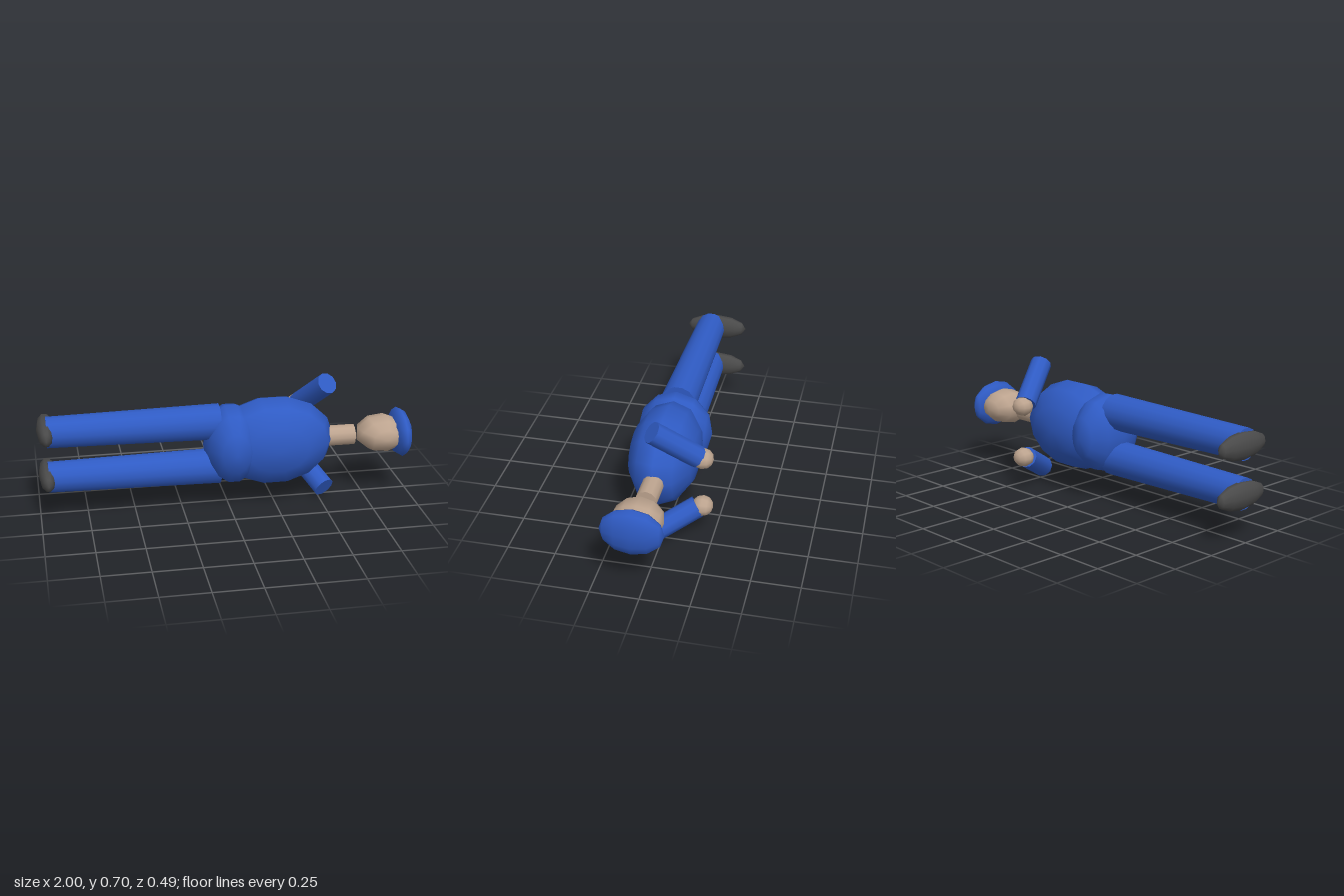
import * as THREE from 'three';

const blue = new THREE.MeshStandardMaterial({ color: 0x2f5bc4 });
blue.name = 'blue cloth';
const skin = new THREE.MeshStandardMaterial({ color: 0xbda48f });
skin.name = 'skin';
const dark = new THREE.MeshStandardMaterial({ color: 0x4a4a4a });
dark.name = 'dark shoe';

const MID_Y = 0.355;
const MID_Z = 0.043;

// Low-poly ellipsoid with its poles along z
function ellipsoid(name, material, center, half, sides, rings = 6) {
  const geometry = new THREE.SphereGeometry(1, sides, rings);
  geometry.rotateX(Math.PI / 2);
  // turn the seam vertex toward +x
  geometry.rotateZ(Math.PI);
  geometry.scale(...half);
  const mesh = new THREE.Mesh(geometry, material);
  mesh.name = name;
  mesh.position.set(...center);
  return mesh;
}

// Capped rod from a to b, with a radius at each end
function rod(name, material, a, b, radiusA, radiusB, sides) {
  const start = new THREE.Vector3(...a);
  const end = new THREE.Vector3(...b);
  const axis = end.clone().sub(start);
  const mesh = new THREE.Mesh(
    new THREE.CylinderGeometry(radiusB, radiusA, axis.length(), sides), material);
  mesh.name = name;
  mesh.position.copy(start).add(end).multiplyScalar(0.5);
  mesh.quaternion.setFromUnitVectors(new THREE.Vector3(0, 1, 0), axis.normalize());
  return mesh;
}

export function createModel() {
  const model = new THREE.Group();
  model.name = 'lyingFigure';

  // Trunk
  model.add(
    ellipsoid('pelvis', blue, [0.015, MID_Y, MID_Z], [0.15, 0.217, 0.2], 14),
    ellipsoid('torso', blue, [0.24, MID_Y, 0.041], [0.33, 0.245, 0.185], 14));

  // Neck, head and cap
  model.add(
    rod('neck', skin, [0.48, MID_Y, 0.038], [0.685, MID_Y, 0.038], 0.055, 0.055, 12),
    ellipsoid('head', skin, [0.84, MID_Y, 0.04], [0.143, 0.1, 0.13], 9),
    ellipsoid('cap', blue, [0.94, MID_Y, 0.045], [0.055, 0.13, 0.16], 12));

  // Legs and shoes
  for (const [side, s] of [['left', -1], ['right', 1]]) {
    const y = MID_Y + s * 0.125;
    model.add(
      rod(side + 'Leg', blue, [-0.95, y, MID_Z], [-0.05, y, MID_Z], 0.082, 0.096, 14),
      ellipsoid(side + 'Shoe', dark, [-0.953, y, 0.01], [0.047, 0.071, 0.17], 10));
  }

  // Arms reach from the raised ends back to the hands
  const arms = [
    ['right', [0.53, 0.655, 0.043], [0.425, 0.475, -0.165], [0.42, 0.465, -0.19]],
    ['left', [0.53, 0.055, 0.043], [0.425, 0.172, -0.165], [0.42, 0.178, -0.19]],
  ];
  for (const [side, end, wrist, hand] of arms) {
    model.add(
      rod(side + 'Arm', blue, wrist, end, 0.058, 0.058, 10),
      ellipsoid(side + 'Hand', skin, hand, [0.06, 0.053, 0.055], 10));
  }
  return model;
}
